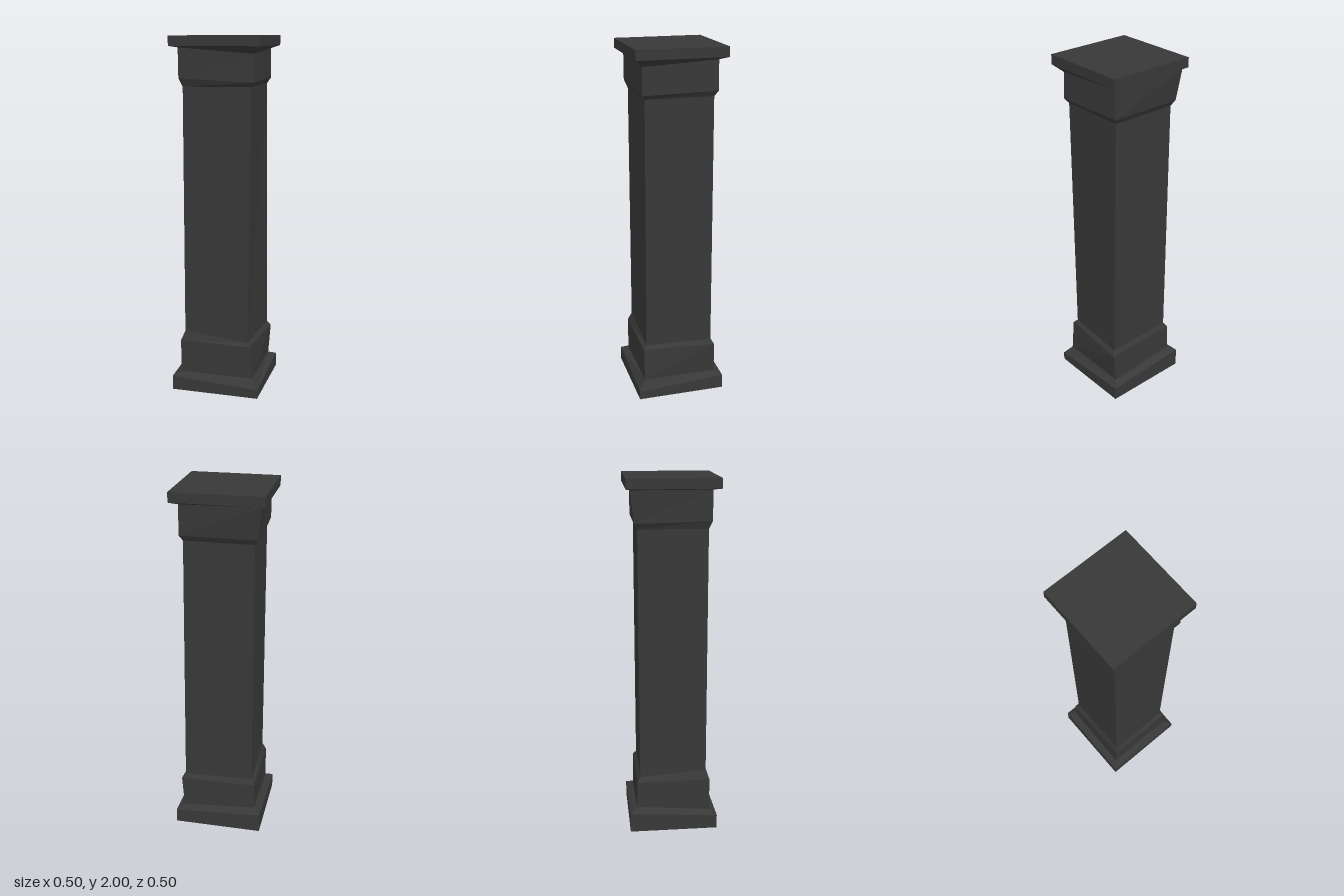
import * as THREE from 'three';

const stone = new THREE.MeshStandardMaterial({ color: 0x383838 });
stone.name = 'dark stone';

// Square ring of four corners: front left, front right, back right, back left.
const square = (r, ys) => [[-r, ys[0], r], [r, ys[1], r], [r, ys[2], -r], [-r, ys[3], -r]];

// Roughly hewn cross-sections, from the ground up.
const ground = square(0.25, [0, 0, 0, 0]);
const plinthEdge = square(0.25, [0.08, 0.05, 0.08, 0.11]);
const plinthTop = square(0.21, [0.1, 0.1, 0.1, 0.135]);
const blockTop = [[-0.21, 0.29, 0.21], [0.195, 0.285, 0.21], [0.225, 0.28, -0.205], [-0.21, 0.285, -0.205]];
const shaftFoot = [[-0.19, 0.34, 0.19], [0.178, 0.305, 0.19], [0.205, 0.305, -0.188], [-0.19, 0.315, -0.188]];
const shaftHead = square(0.19, [1.73, 1.735, 1.735, 1.735]);
const collar = square(0.208, [1.775, 1.758, 1.765, 1.765]);
const neckTop = [[-0.21, 1.938, 0.208], [0.207, 1.907, 0.205], [0.207, 1.93, -0.208], [-0.23, 1.94, -0.228]];
const slabBottom = square(0.25, [1.946, 1.946, 1.946, 1.946]);
const slabTop = square(0.25, [2, 2, 2, 2]);

// Flat-faced skin through a stack of rings, optionally closed at either end.
function loft(name, rings, { bottom = false, top = false } = {}) {
  const points = [];
  const quad = (a, b, c, d) => points.push(...a, ...b, ...c, ...a, ...c, ...d);
  for (let i = 0; i + 1 < rings.length; i++) {
    const low = rings[i], high = rings[i + 1];
    for (let k = 0; k < 4; k++) {
      const n = (k + 1) % 4;
      quad(low[k], low[n], high[n], high[k]);
    }
  }
  if (bottom) quad(...[...rings[0]].reverse());
  if (top) quad(...rings[rings.length - 1]);
  const geometry = new THREE.BufferGeometry();
  geometry.setAttribute('position', new THREE.Float32BufferAttribute(points, 3));
  geometry.computeVertexNormals();
  const mesh = new THREE.Mesh(geometry, stone);
  mesh.name = name;
  return mesh;
}

export function createModel() {
  const column = new THREE.Group();
  column.name = 'column';
  column.add(
    loft('plinth', [ground, plinthEdge, plinthTop], { bottom: true }),
    loft('baseBlock', [plinthTop, blockTop, shaftFoot]),
    loft('shaft', [shaftFoot, shaftHead]),
    loft('capital', [shaftHead, collar, neckTop, slabBottom]),
    loft('topSlab', [slabBottom, slabTop], { top: true })
  );
  return column;
}
